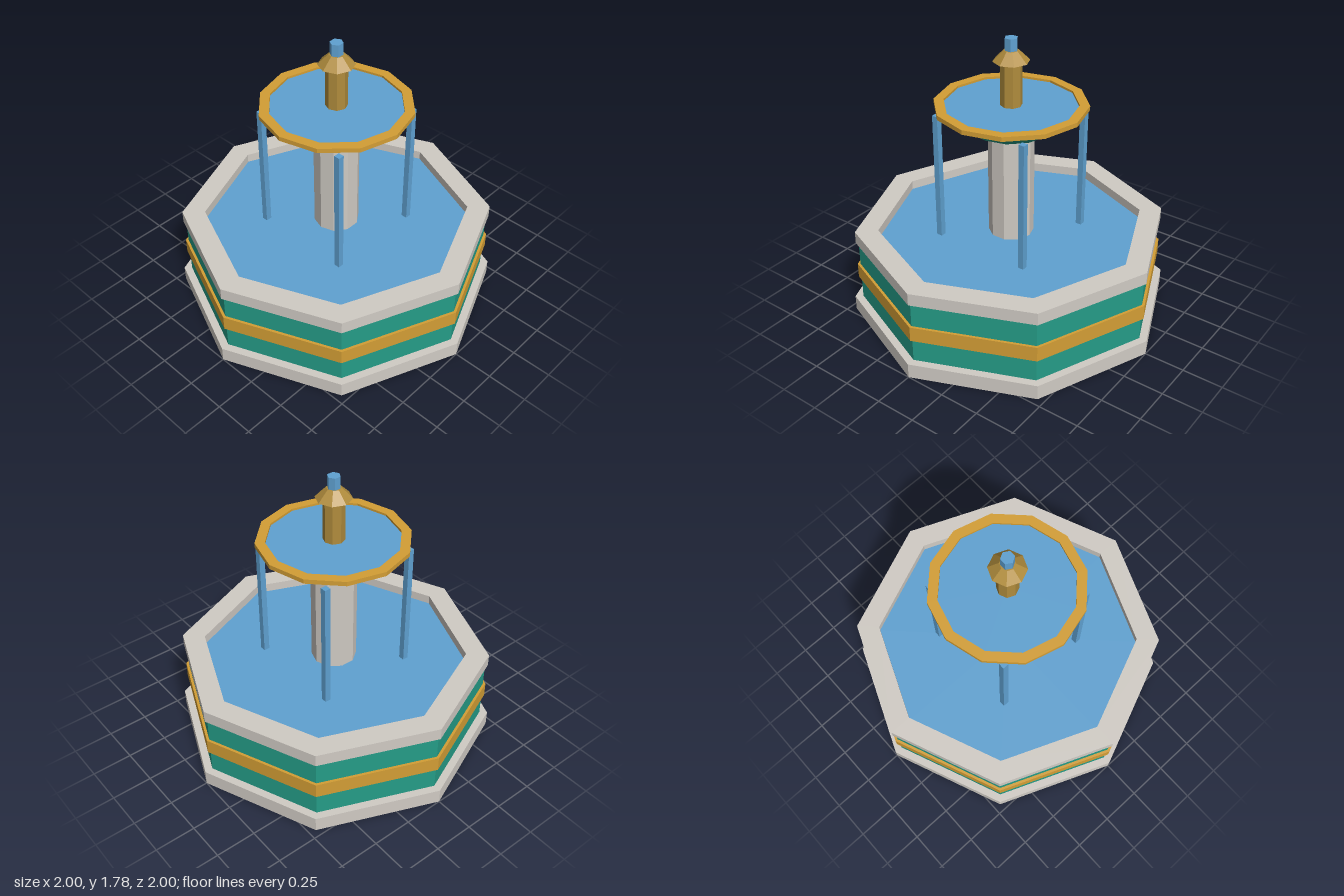
import * as THREE from 'three';

const material = (name, color) => {
  const m = new THREE.MeshStandardMaterial({ color });
  m.name = name;
  return m;
};

export function createModel() {
  const stone = material('pale stone', 0xd0cbc4);
  const teal = material('teal tile', 0x259c87);
  const gold = material('gold trim', 0xd39e35);
  const bronze = material('bronze', 0xb08c3c);
  const water = material('water blue', 0x5fa1d1);

  const fountain = new THREE.Group();
  fountain.name = 'fountain';

  // Adds a mesh with hard facets
  const add = (name, geometry, mat) => {
    const faceted = geometry.index ? geometry.toNonIndexed() : geometry;
    faceted.computeVertexNormals();
    const mesh = new THREE.Mesh(faceted, mat);
    mesh.name = name;
    fountain.add(mesh);
    return mesh;
  };

  // Solid prism or frustum between two heights
  const prism = (name, mat, sides, y0, y1, rBottom, rTop = rBottom) => {
    const mesh = add(name, new THREE.CylinderGeometry(rTop, rBottom, y1 - y0, sides), mat);
    mesh.position.y = (y0 + y1) / 2;
  };

  // Polygonal ring with a rectangular section
  const ring = (name, mat, sides, y0, y1, inner, outer) => {
    const section = [[inner, y0], [outer, y0], [outer, y1], [inner, y1], [inner, y0]];
    const points = section.map(([r, y]) => new THREE.Vector2(r, y));
    add(name, new THREE.LatheGeometry(points, sides), mat);
  };

  // Octagonal basin
  ring('basePlinth', stone, 8, 0, 0.095, 0.885, 1);
  prism('basinWall', teal, 8, 0.002, 0.5, 0.95);
  ring('basinBand', gold, 8, 0.245, 0.34, 0.93, 0.967);
  ring('basinRim', stone, 8, 0.495, 0.573, 0.825, 0.967);
  prism('basinWater', water, 8, 0.49, 0.515, 0.83);

  // Column and upper dish
  prism('column', stone, 10, 0.5, 1.24, 0.14);
  prism('dishBowl', teal, 12, 1.23, 1.356, 0.25, 0.43);
  ring('dishRim', gold, 12, 1.352, 1.38, 0.4, 0.46);
  prism('dishWater', water, 12, 1.35, 1.366, 0.405);

  // Finial and top jet
  prism('finialShaft', bronze, 8, 1.36, 1.645, 0.066);
  prism('finialCap', bronze, 8, 1.64, 1.705, 0.11, 0.045);
  prism('topJet', water, 6, 1.7, 1.78, 0.04);

  // Four falling streams
  for (const x of [-0.31, 0.31]) {
    for (const z of [-0.31, 0.31]) {
      const stream = add('waterStream', new THREE.BoxGeometry(0.037, 0.815, 0.037), water);
      stream.position.set(x, 0.9175, z);
    }
  }

  return fountain;
}
